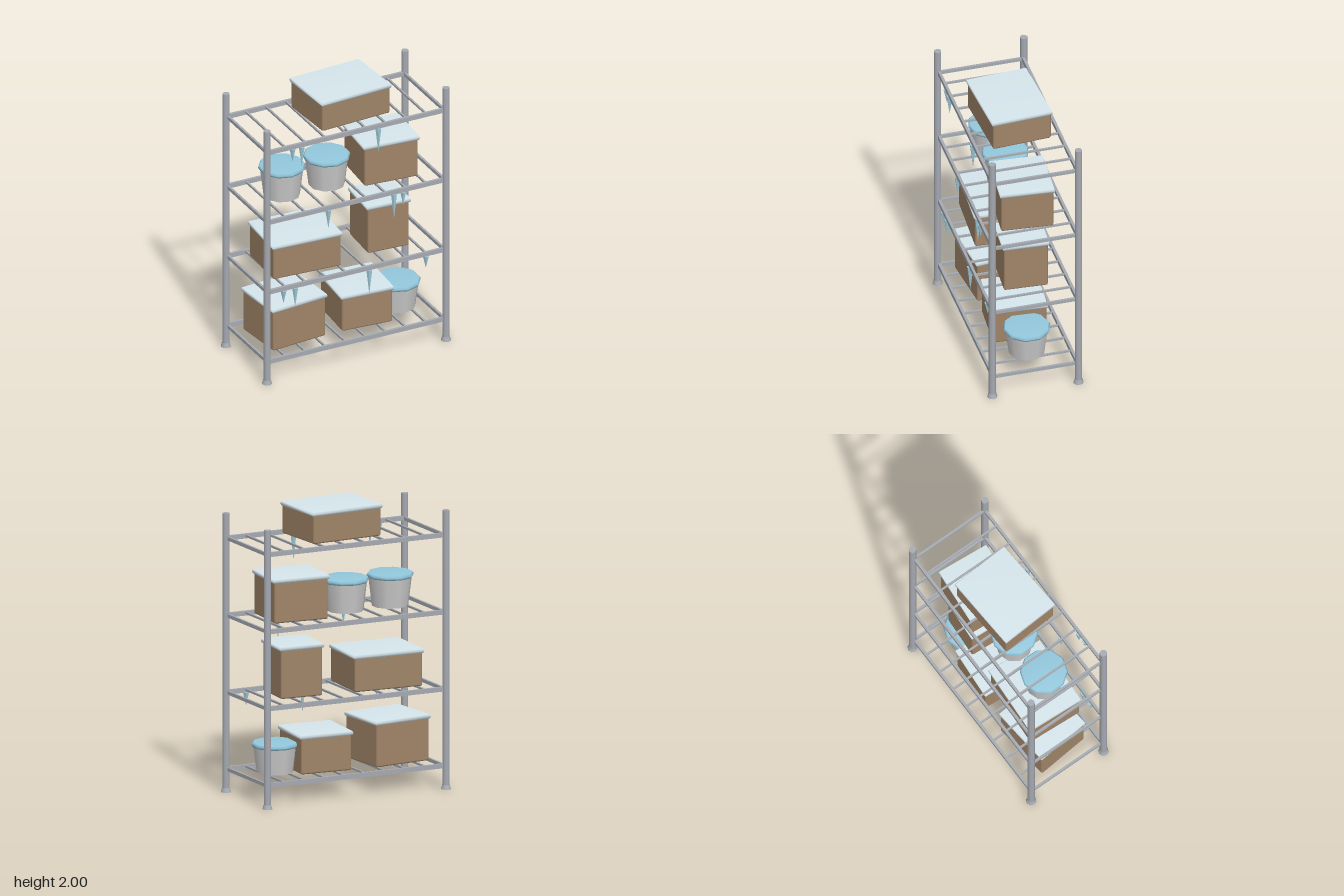
import * as THREE from 'three';
import { RoundedBoxGeometry } from 'three/addons/geometries/RoundedBoxGeometry.js';

const mat = (color, flatShading = false) => new THREE.MeshStandardMaterial({ color, flatShading });

export function createModel() {
  const model = new THREE.Group();
  const metal = mat(0xa6abb2);
  const cardboard = mat(0xa08468);
  const paleLid = mat(0xd6e6ec);
  const blueLid = mat(0x93c8dd);
  const bucketGrey = mat(0xcccccc);
  const ice = mat(0xa0ccd9, true);

  const add = (parent, name, geometry, material, x = 0, y = 0, z = 0) => {
    const mesh = new THREE.Mesh(geometry, material);
    mesh.name = name;
    mesh.position.set(x, y, z);
    parent.add(mesh);
    return mesh;
  };
  const lathe = (points, sides) =>
    new THREE.LatheGeometry(points.map(([r, y]) => new THREE.Vector2(r, y)), sides);

  // Four posts with flared feet
  const postX = 0.682, postZ = 0.303;
  const postGeo = new THREE.CylinderGeometry(0.0255, 0.0255, 1.91, 8);
  const footGeo = new THREE.CylinderGeometry(0.027, 0.036, 0.03, 8);
  for (const sx of [-1, 1]) for (const sz of [-1, 1]) {
    add(model, 'post', postGeo, metal, sx * postX, 0.98, sz * postZ);
    add(model, 'foot', footGeo, metal, sx * postX, 0.015, sz * postZ);
  }

  // Shelves: long rails, end rails and eight slats
  const shelfY = [0.161, 0.693, 1.227, 1.762];
  const railGeo = new THREE.BoxGeometry(1.34, 0.032, 0.019);
  const endGeo = new THREE.BoxGeometry(0.016, 0.024, 0.59);
  const slatGeo = new THREE.BoxGeometry(0.013, 0.014, 0.59);
  shelfY.forEach((y) => {
    const shelf = new THREE.Group();
    shelf.name = 'shelf';
    shelf.position.y = y;
    for (const s of [-1, 1]) {
      add(shelf, 'longRail', railGeo, metal, 0, 0, s * 0.296);
      add(shelf, 'endRail', endGeo, metal, s * 0.674, -0.002, 0);
    }
    for (let i = 0; i < 8; i++) add(shelf, 'slat', slatGeo, metal, (i - 3.5) * 0.153, 0.003, 0);
    model.add(shelf);
  });

  // Cardboard boxes with bevelled lids: shelf, x, lid width, total height, lid depth, turn
  const boxLidGeo = lathe([[0, -0.014], [0.69, -0.014], [0.7071, 0], [0.69, 0.014], [0, 0.014]], 4);
  boxLidGeo.rotateY(Math.PI / 4);
  const boxes = [
    [0, -0.394, 0.442, 0.32, 0.4, 0.096],
    [0, 0.156, 0.39, 0.272, 0.39, -0.07],
    [1, -0.31, 0.522, 0.258, 0.416, -0.055],
    [1, 0.331, 0.325, 0.362, 0.325, -0.06],
    [2, 0.344, 0.413, 0.307, 0.38, -0.08],
    [3, 0.034, 0.551, 0.222, 0.435, 0.06],
  ];
  for (const [s, x, w, h, d, turn] of boxes) {
    const box = new THREE.Group();
    box.name = 'box';
    box.position.set(x, shelfY[s] + 0.016, 0);
    box.rotation.y = turn;
    const bodyH = h - 0.02;
    add(box, 'boxBody', new RoundedBoxGeometry(w - 0.018, bodyH, d - 0.018, 1, 0.012), cardboard, 0, bodyH / 2);
    add(box, 'boxLid', boxLidGeo, paleLid, 0, h - 0.014).scale.set(w, 1, d);
    model.add(box);
  }

  // Tapered ten-sided buckets with blue lids: shelf, x, height
  const bucketLidGeo = lathe([[0, -0.016], [0.155, -0.016], [0.163, 0], [0.152, 0.016], [0, 0.016]], 10);
  for (const [s, x, h] of [[0, 0.466, 0.21], [2, -0.413, 0.232], [2, -0.071, 0.232]]) {
    const bucket = new THREE.Group();
    bucket.name = 'bucket';
    bucket.position.set(x, shelfY[s] + 0.016, 0);
    add(bucket, 'bucketBody', new THREE.CylinderGeometry(0.151, 0.125, h - 0.02, 10), bucketGrey, 0, (h - 0.02) / 2);
    add(bucket, 'bucketLid', bucketLidGeo, blueLid, 0, h - 0.016);
    model.add(bucket);
  }

  // Icicles hanging under the front rails: shelf, x, length
  const icicles = [
    [3, -0.483, 0.1], [3, -0.413, 0.146], [3, 0.171, 0.19],
    [2, -0.21, 0.142], [2, 0.29, 0.19], [2, 0.36, 0.1],
    [1, -0.552, 0.1], [1, -0.463, 0.145], [1, 0.102, 0.188], [1, 0.533, 0.092],
  ];
  for (const [s, x, len] of icicles) {
    const cone = new THREE.ConeGeometry(0.023, len, 6);
    cone.rotateX(Math.PI);
    cone.rotateY(Math.PI / 6);
    add(model, 'icicle', cone, ice, x, shelfY[s] - 0.016 - len / 2, 0.294);
  }
  return model;
}
